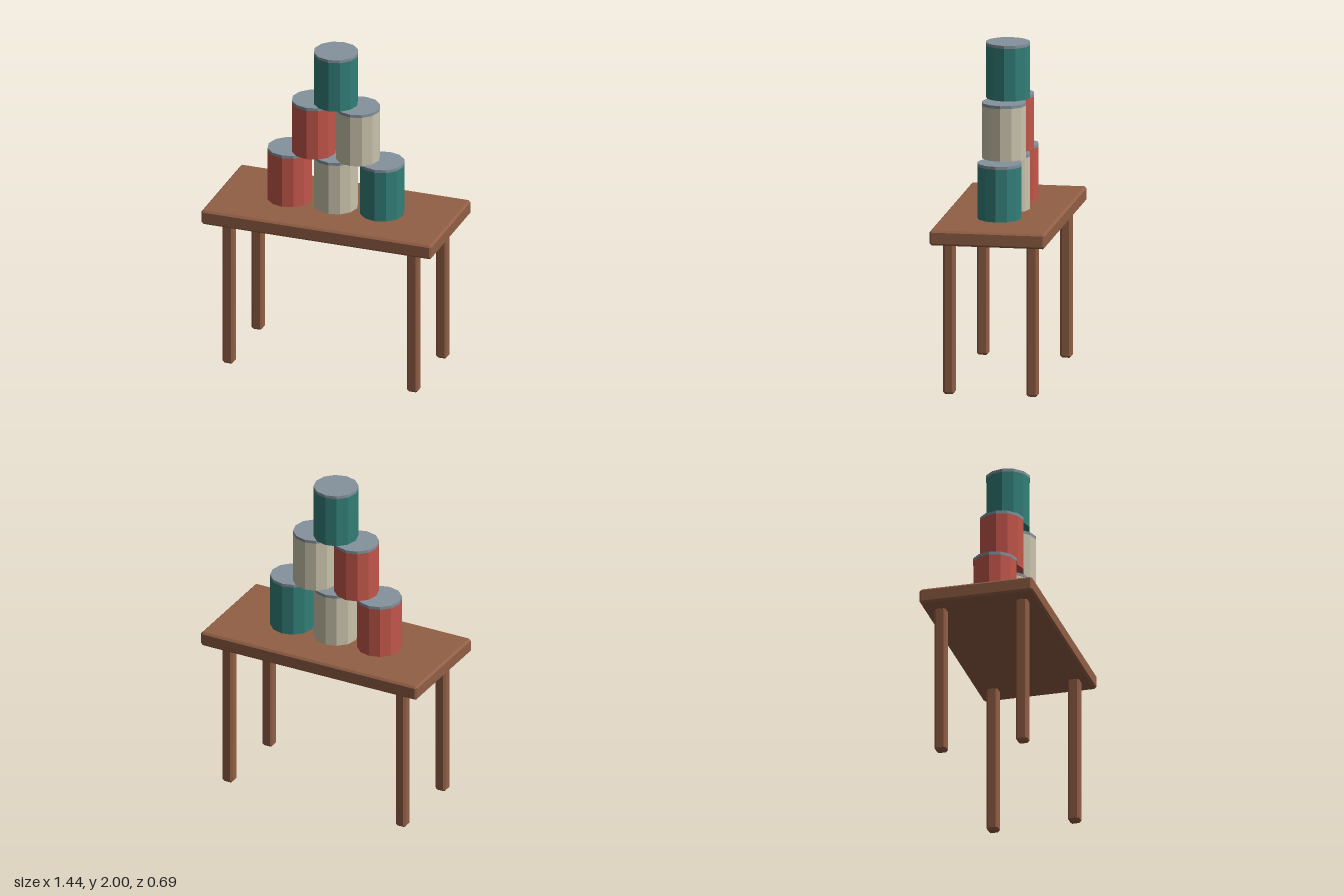
import * as THREE from 'three';
import { ConvexGeometry } from 'three/addons/geometries/ConvexGeometry.js';

const material = (name, color) => {
  const m = new THREE.MeshStandardMaterial({ color, flatShading: true });
  m.name = name;
  return m;
};

// Box with flat chamfers along every edge
function chamferBox(w, h, d, c) {
  const points = [];
  for (const sx of [-1, 1]) for (const sy of [-1, 1]) for (const sz of [-1, 1]) {
    const x = w / 2, y = h / 2, z = d / 2;
    points.push(
      new THREE.Vector3(sx * x, sy * (y - c), sz * (z - c)),
      new THREE.Vector3(sx * (x - c), sy * y, sz * (z - c)),
      new THREE.Vector3(sx * (x - c), sy * (y - c), sz * z));
  }
  return new ConvexGeometry(points);
}

export function createModel() {
  const model = new THREE.Group();
  model.name = 'canPyramidTable';
  const wood = material('wood', 0x925f45);
  const steel = material('steel', 0x84929c);
  const red = material('red', 0xc3564b);
  const cream = material('cream', 0xc9c2ac);
  const teal = material('teal', 0x337f79);

  const add = (parent, name, geometry, mat, x, y, z) => {
    const mesh = new THREE.Mesh(geometry, mat);
    mesh.name = name;
    mesh.position.set(x, y, z);
    parent.add(mesh);
  };

  // Table
  const table = new THREE.Group();
  table.name = 'table';
  model.add(table);
  add(table, 'tableTop', chamferBox(1.44, 0.09, 0.688, 0.012), wood, 0, 0.955, 0);
  const legGeometry = chamferBox(0.068, 0.92, 0.068, 0.012);
  for (const x of [-1, 1]) for (const z of [-1, 1]) {
    add(table, `${z > 0 ? 'front' : 'back'}${x > 0 ? 'Left' : 'Right'}Leg`,
      legGeometry, wood, x * 0.577, 0.46, z * 0.248);
  }

  // Cans stacked in a 3-2-1 pyramid, each with a steel lid
  const canHeight = 1 / 3, lidHeight = 0.018;
  const bodyGeometry = new THREE.CylinderGeometry(0.1315, 0.1315, canHeight - lidHeight, 12);
  const lidGeometry = new THREE.CylinderGeometry(0.1325, 0.1325, lidHeight, 12);
  const rows = [
    [[-0.289, red], [0, cream], [0.289, teal]],
    [[-0.137, red], [0.137, cream]],
    [[0, teal]],
  ];
  rows.forEach((row, level) => row.forEach(([x, label], i) => {
    const can = new THREE.Group();
    can.name = `can${level + 1}_${i + 1}`;
    can.position.set(x, 1 + level * canHeight, 0);
    add(can, 'canBody', bodyGeometry, label, 0, (canHeight - lidHeight) / 2, 0);
    add(can, 'canLid', lidGeometry, steel, 0, canHeight - lidHeight / 2, 0);
    model.add(can);
  }));

  return model;
}
